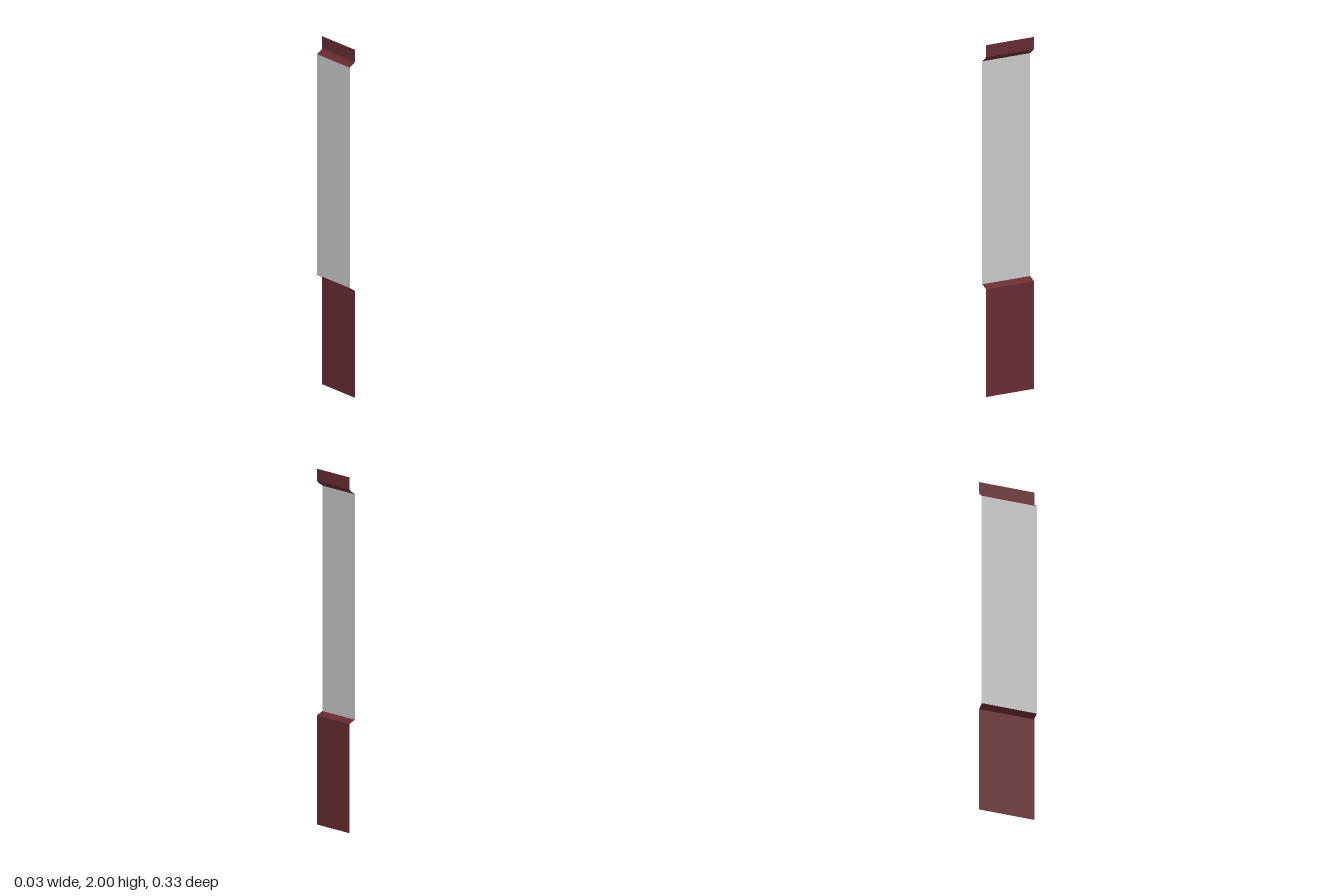
import * as THREE from 'three';

const HALF_DEPTH = 0.167;

// Open sheet: sweeps an (x, y) profile along z, with hard edges between strips
function sheet(name, profile, color) {
  const positions = [];
  for (let i = 0; i < profile.length - 1; i++) {
    const [x0, y0] = profile[i];
    const [x1, y1] = profile[i + 1];
    const a = [x0, y0, HALF_DEPTH], b = [x0, y0, -HALF_DEPTH];
    const c = [x1, y1, -HALF_DEPTH], d = [x1, y1, HALF_DEPTH];
    positions.push(...a, ...b, ...c, ...a, ...c, ...d);
  }
  const geometry = new THREE.BufferGeometry();
  geometry.setAttribute('position', new THREE.Float32BufferAttribute(positions, 3));
  geometry.computeVertexNormals();
  const material = new THREE.MeshStandardMaterial({ color, side: THREE.DoubleSide });
  const mesh = new THREE.Mesh(geometry, material);
  mesh.name = name;
  return mesh;
}

export function createModel() {
  const group = new THREE.Group();
  group.name = 'wallPanel';
  const red = 0x692d32, grey = 0xcccccc;
  const out = 0.017, back = -0.017;

  // Wainscot with a moulded ledge stepping back to the wall
  group.add(sheet('lowerWainscot', [
    [out, 0], [out, 0.613], [0.011, 0.619], [-0.009, 0.63], [back, 0.635],
  ], red));

  // Recessed plain wall
  group.add(sheet('wallSurface', [[back, 0.635], [back, 1.902]], grey));

  // Crown moulding stepping forward to the top strip
  group.add(sheet('crownMoulding', [
    [back, 1.902], [-0.009, 1.909], [0.011, 1.922], [out, 1.932], [out, 2],
  ], red));

  return group;
}
